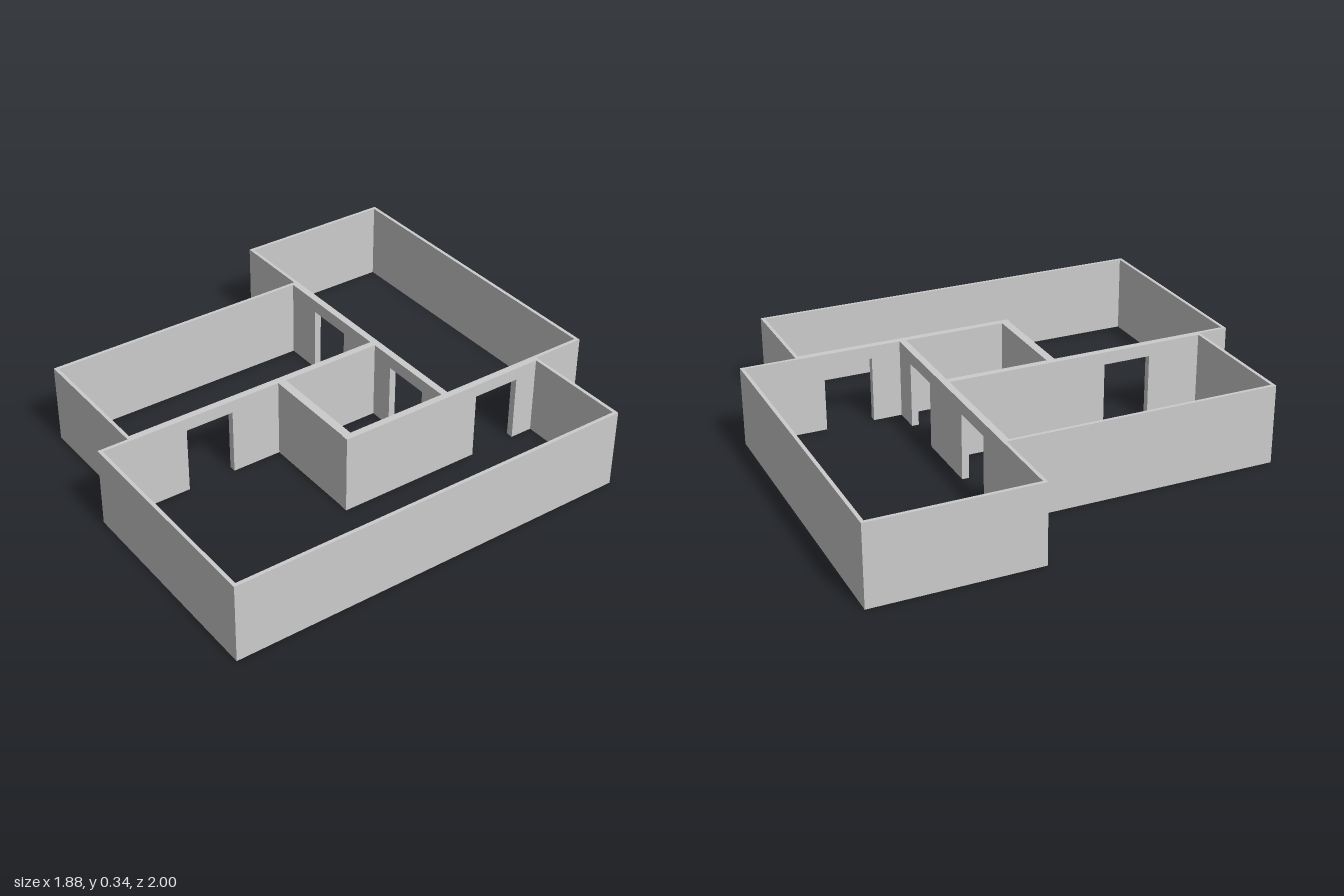
import * as THREE from 'three';

const HEIGHT = 0.34, DOOR_HEIGHT = 0.285;
const material = new THREE.MeshStandardMaterial({ color: 0xcccccc, flatShading: true });

// Wall elevation with an optional doorway notch open to the ground
function wallShape(length, door) {
  const s = new THREE.Shape();
  s.moveTo(0, 0);
  if (door) {
    s.lineTo(door[0], 0);
    s.lineTo(door[0], DOOR_HEIGHT);
    s.lineTo(door[1], DOOR_HEIGHT);
    s.lineTo(door[1], 0);
  }
  s.lineTo(length, 0);
  s.lineTo(length, HEIGHT);
  s.lineTo(0, HEIGHT);
  s.closePath();
  return s;
}

// Wall over the plan rectangle x0..x1, z0..z1; door is a range along its longer side
function wall(name, x0, x1, z0, z1, door) {
  const alongX = x1 - x0 > z1 - z0;
  const length = alongX ? x1 - x0 : z1 - z0;
  const depth = alongX ? z1 - z0 : x1 - x0;
  const notch = door && (alongX ? [door[0] - x0, door[1] - x0] : [z1 - door[1], z1 - door[0]]);
  const geo = new THREE.ExtrudeGeometry(wallShape(length, notch), { depth, bevelEnabled: false });
  if (alongX) geo.translate(x0, 0, z0);
  else geo.rotateY(Math.PI / 2).translate(x0, 0, z1);
  const mesh = new THREE.Mesh(geo, material);
  mesh.name = name;
  return mesh;
}

export function createModel() {
  const house = new THREE.Group();
  house.name = 'floorPlan';

  const walls = [
    // Back room
    ['backRoomBackWall', -0.94, 0.465, -1, -0.985],
    ['backRoomRightWall', -0.94, -0.925, -0.985, -0.3],
    ['backRoomFrontWall', -0.925, -0.59, -0.315, -0.3],
    ['backRoomLeftWall', 0.45, 0.465, -0.985, -0.765],
    // Side room
    ['sideRoomRightWall', -0.59, -0.575, -0.285, 0.87],
    ['sideRoomFrontWall', -0.575, 0, 0.855, 0.87],
    // L-shaped main room
    ['mainRoomBackWall', 0.48, 0.94, -0.765, -0.75],
    ['mainRoomLeftWall', 0.925, 0.94, -0.75, 1],
    ['mainRoomFrontWall', 0, 0.925, 0.985, 1],
    ['mainRoomRightWall', 0, 0.015, 0.87, 0.985],
    // Shared inner walls of double thickness, with doorways
    ['backToSideWall', -0.59, 0, -0.315, -0.285, [-0.41, -0.2]],
    ['backToSmallRoomWall', 0, 0.45, -0.315, -0.285, [0.12, 0.33]],
    ['backToMainWall', 0.45, 0.48, -0.765, 0.195, [-0.65, -0.44]],
    ['sideToMainWall', -0.015, 0.015, -0.285, 0.855, [0.41, 0.62]],
    ['sideToMainWallEnd', 0, 0.015, 0.855, 0.87],
    ['smallRoomFrontWall', 0.015, 0.45, 0.157, 0.193],
  ];
  for (const w of walls) house.add(wall(...w));
  return house;
}
